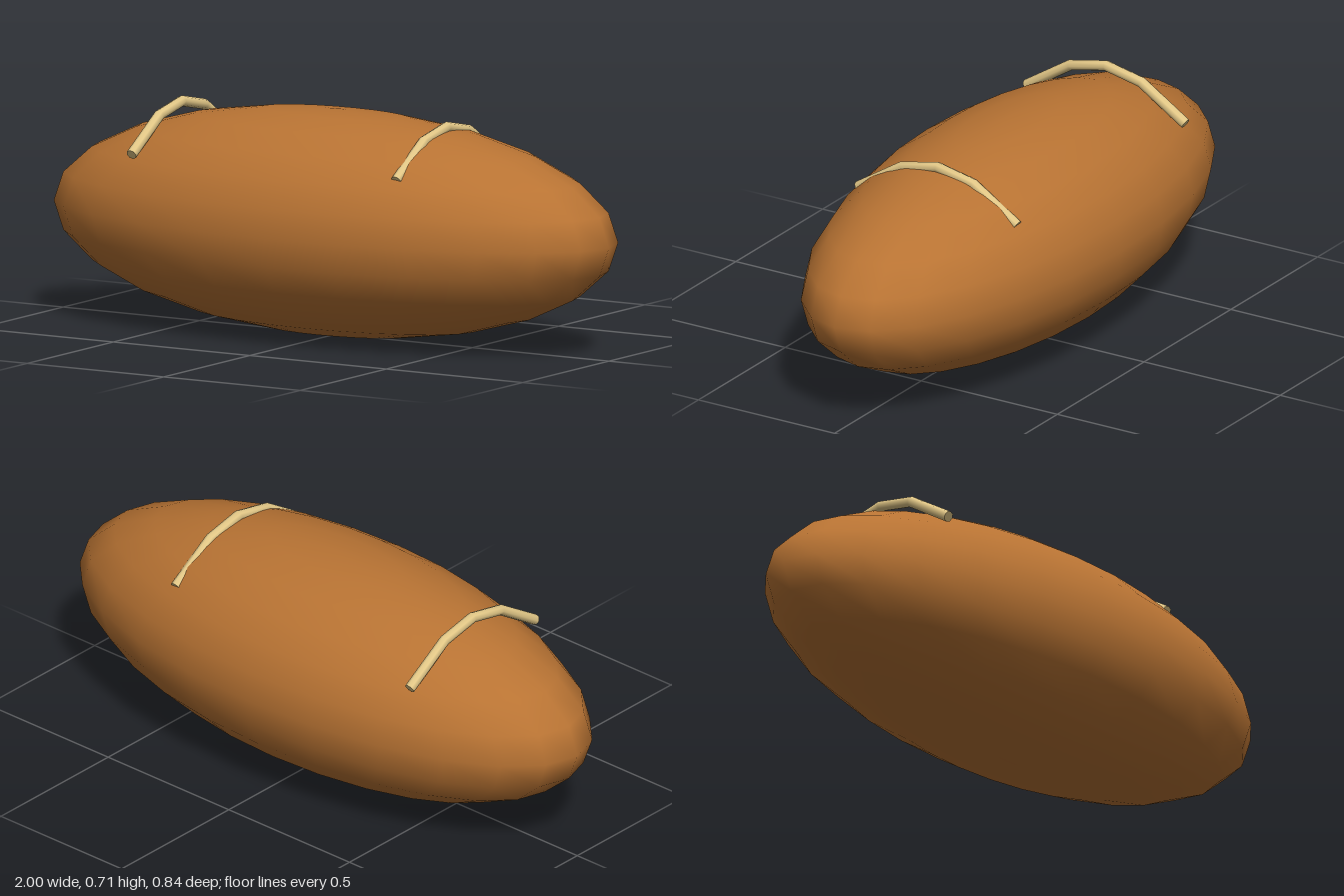
import * as THREE from 'three';

const V = (y, z) => new THREE.Vector3(0, y, z);

export function createModel() {
  const group = new THREE.Group();
  const brown = new THREE.MeshStandardMaterial({ color: 0xb87333 });
  const cream = new THREE.MeshStandardMaterial({ color: 0xe3c887 });

  // Long rounded body
  const bodyGeometry = new THREE.SphereGeometry(1, 24, 12);
  bodyGeometry.scale(1, 0.354, 0.418);
  const body = new THREE.Mesh(bodyGeometry, brown);
  body.name = 'body';
  body.position.y = 0.356;
  group.add(body);

  // Bent strips lying across the top, with one ring of the tube on each point
  const radius = 0.017;
  const points = [V(0.556, 0.292), V(0.659, 0.13), V(0.686, 0), V(0.659, -0.13), V(0.556, -0.292)];
  const curve = new THREE.CatmullRomCurve3(points);
  curve.getUtoTmapping = (u) => u;
  const tube = new THREE.TubeGeometry(curve, points.length - 1, radius, 8);

  for (const [name, x] of [['rightStrip', -0.565], ['leftStrip', 0.405]]) {
    const strip = new THREE.Group();
    strip.name = name;
    strip.position.x = x;
    const band = new THREE.Mesh(tube, cream);
    band.name = 'band';
    strip.add(band);

    // Flat end caps facing outwards along the tube
    for (const [t, sign] of [[0, -1], [1, 1]]) {
      const cap = new THREE.Mesh(new THREE.CircleGeometry(radius, 8), cream);
      cap.name = 'endCap';
      cap.position.copy(curve.getPoint(t));
      cap.lookAt(cap.position.clone().addScaledVector(curve.getTangent(t), sign));
      strip.add(cap);
    }
    group.add(strip);
  }
  return group;
}
